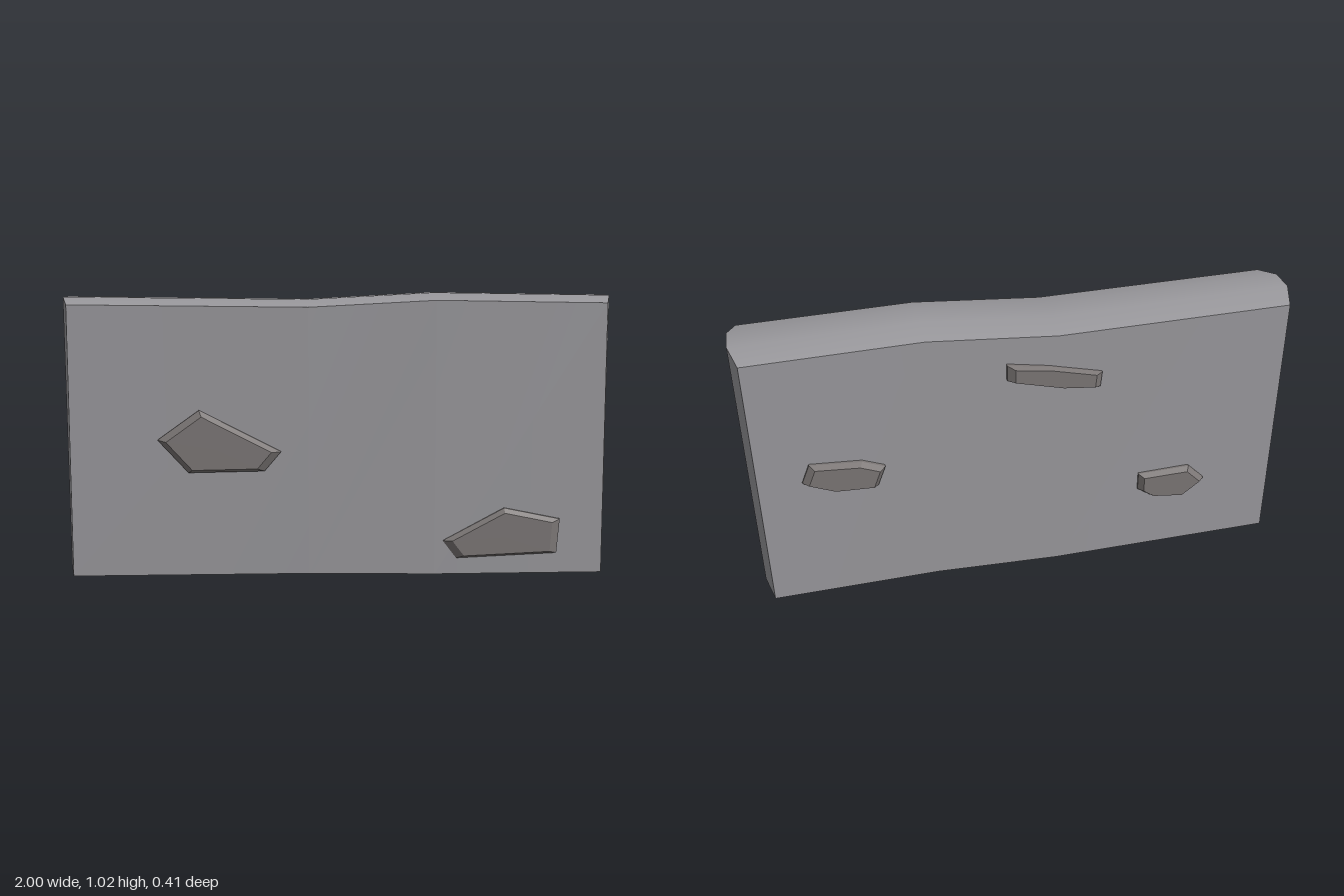
import * as THREE from 'three';

const wallMat = new THREE.MeshStandardMaterial({ color: 0x98979b });
wallMat.name = 'wall grey';
const stoneMat = new THREE.MeshStandardMaterial({ color: 0x7b7675 });
stoneMat.name = 'stone brown grey';

// Stations along the wall: x direction, shoulder height, sideways wave
const stations = [
  { x: -1, y: 0.985, dz: 0 },
  { x: -0.11, y: 0.975, dz: -0.01 },
  { x: 0.35, y: 1.0, dz: 0.01 },
  { x: 1, y: 0.99, dz: 0 },
];
const CREST = 0.025; // rise from shoulder to crest
const INSET = 0.03; // chamfer of the ends

// Wall corner at station s, across index k (0 front .. 3 back), top or bottom
function wallPoint(s, k, top) {
  const st = stations[s];
  const outer = k === 0 || k === 3;
  const half = outer ? (top ? 0.146 : 0.176) : (top ? 0.049 : 0.057);
  const isEnd = Math.abs(st.x) === 1;
  const x = st.x - (isEnd && outer ? Math.sign(st.x) * INSET : 0);
  const y = top ? st.y + (outer ? 0 : CREST) : 0;
  return [x, y, st.dz + (k < 2 ? half : -half)];
}

// Smooth patch from rows of points; counter-clockwise when rows run along u, then v
function patch(name, rows) {
  const n = rows[0].length;
  const index = [];
  for (let r = 0; r < rows.length - 1; r++) {
    for (let c = 0; c < n - 1; c++) {
      const a = r * n + c, b = a + 1, d = a + n, e = d + 1;
      index.push(a, b, e, a, e, d);
    }
  }
  const geo = new THREE.BufferGeometry();
  geo.setAttribute('position', new THREE.Float32BufferAttribute(rows.flat(2), 3));
  geo.setIndex(index);
  geo.computeVertexNormals();
  const mesh = new THREE.Mesh(geo, wallMat);
  mesh.name = name;
  return mesh;
}

// Bevelled stone: outline on the wall, smaller face standing proud of it
function stone(name, outline, faceZ, slope, wallZ) {
  const n = outline.length;
  const cx = outline.reduce((t, p) => t + p[0], 0) / n;
  const cy = outline.reduce((t, p) => t + p[1], 0) / n;
  const side = Math.sign(faceZ);
  const ring = (k, z) => outline.map(([x, y]) =>
    [cx + (x - cx) * k, cy + (y - cy) * k, z - side * slope * (y - cy)]);
  const rings = [ring(1, wallZ - side * 0.03), ring(1, wallZ + side * 0.008), ring(0.85, faceZ)];
  const pos = [];
  const tri = (a, b, c) => pos.push(...(side > 0 ? [a, b, c] : [a, c, b]).flat());
  for (let i = 0; i < n; i++) {
    const j = (i + 1) % n;
    for (let r = 0; r < 2; r++) {
      tri(rings[r][i], rings[r][j], rings[r + 1][j]);
      tri(rings[r][i], rings[r + 1][j], rings[r + 1][i]);
    }
    tri(rings[2][i], rings[2][j], [cx, cy, faceZ]);
  }
  const geo = new THREE.BufferGeometry();
  geo.setAttribute('position', new THREE.Float32BufferAttribute(pos, 3));
  geo.computeVertexNormals();
  const mesh = new THREE.Mesh(geo, stoneMat);
  mesh.name = name;
  return mesh;
}

export function createModel() {
  const model = new THREE.Group();
  model.name = 'stone wall';
  const across = [0, 1, 2, 3];
  const along = [0, 1, 2, 3];
  const back = [3, 2, 1, 0];

  // Wall faces
  const wall = new THREE.Group();
  wall.name = 'wall';
  wall.add(
    patch('wallFront', [false, true].map(t => along.map(s => wallPoint(s, 0, t)))),
    patch('wallBack', [false, true].map(t => back.map(s => wallPoint(s, 3, t)))),
    patch('wallTop', across.map(k => along.map(s => wallPoint(s, k, true)))),
    patch('wallBottom', back.map(k => along.map(s => wallPoint(s, k, false)))),
    patch('wallLeftEnd', [false, true].map(t => across.map(k => wallPoint(3, k, t)))),
    patch('wallRightEnd', [false, true].map(t => back.map(k => wallPoint(0, k, t)))),
  );
  model.add(wall);

  // Protruding stones, outlines counter-clockwise in x and y
  model.add(
    stone('frontUpperStone',
      [[-0.655, 0.5], [-0.545, 0.38], [-0.27, 0.385], [-0.21, 0.455], [-0.505, 0.607]],
      0.188, 0.03, 0.158),
    stone('frontLowerStone',
      [[0.38, 0.125], [0.43, 0.06], [0.8, 0.077], [0.81, 0.203], [0.605, 0.245]],
      0.203, 0.03, 0.176),
    stone('backUpperStone',
      [[-0.27, 0.815], [-0.265, 0.757], [-0.13, 0.772], [0.075, 0.825], [0.075, 0.885], [-0.08, 0.862]],
      -0.187, 0.01, -0.158),
    stone('backMiddleStone',
      [[0.52, 0.53], [0.55, 0.453], [0.71, 0.46], [0.815, 0.505], [0.785, 0.577], [0.6, 0.563]],
      -0.19, 0.01, -0.157),
    stone('backLowerStone',
      [[-0.695, 0.285], [-0.615, 0.222], [-0.48, 0.24], [-0.43, 0.275], [-0.43, 0.345], [-0.63, 0.35]],
      -0.203, 0.01, -0.172),
  );
  return model;
}
